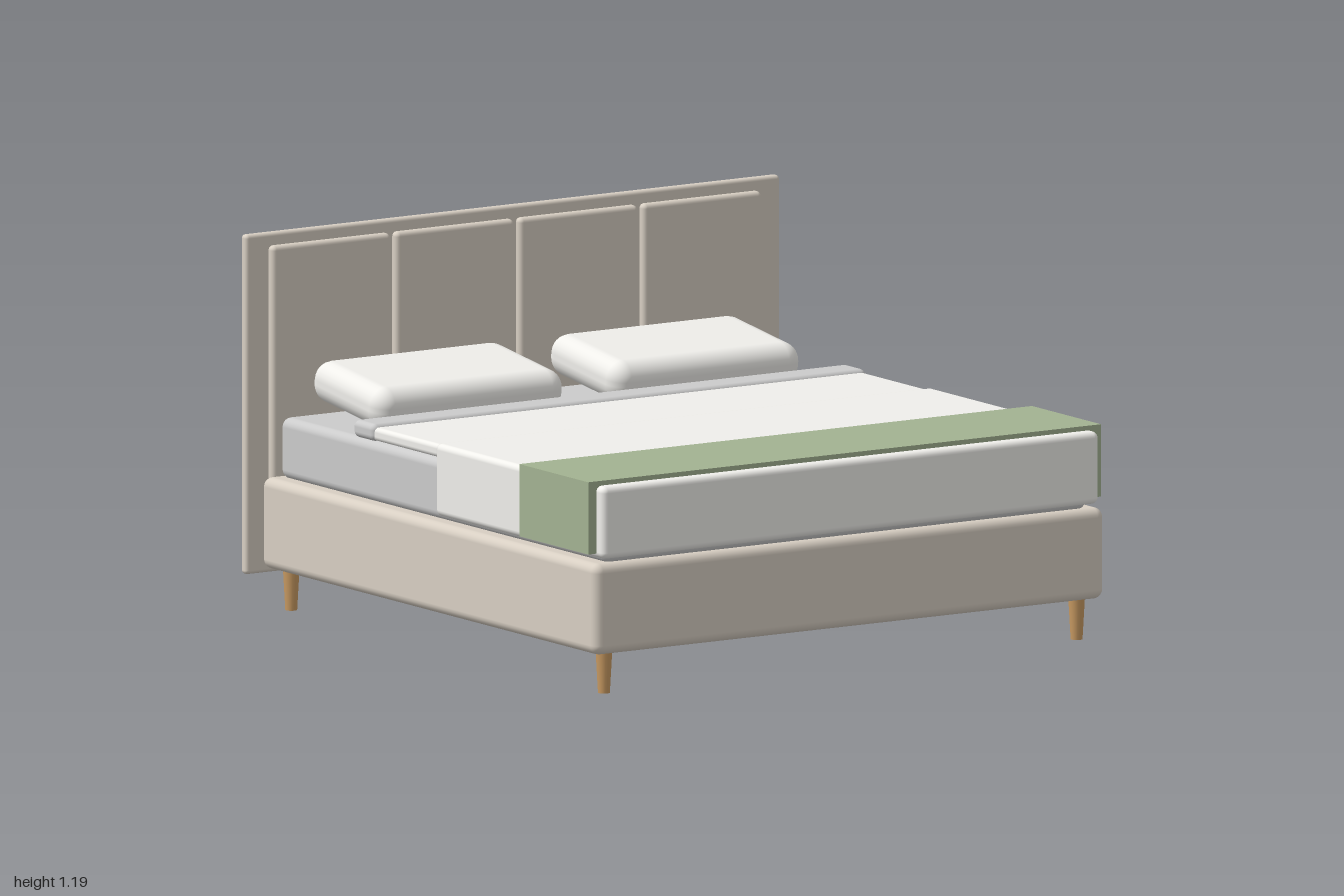
import * as THREE from 'three';
import { RoundedBoxGeometry } from 'three/addons/geometries/RoundedBoxGeometry.js';

const paint = (color) => new THREE.MeshStandardMaterial({ color });

export function createModel() {
  const bed = new THREE.Group();
  bed.name = 'bed';

  const fabric = paint(0xd8cfc3);
  const grey = paint(0xcccccc);
  const linen = paint(0xf0efeb);
  const green = paint(0xa3b392);
  const wood = paint(0xc89a62);

  function add(name, geometry, material, x, y, z) {
    const mesh = new THREE.Mesh(geometry, material);
    mesh.name = name;
    mesh.position.set(x, y, z);
    bed.add(mesh);
    return mesh;
  }

  // Rounded block given by its [min, max] range on each axis
  function block(name, material, [x0, x1], [y0, y1], [z0, z1], radius, segments = 3) {
    const geometry = new RoundedBoxGeometry(x1 - x0, y1 - y0, z1 - z0, segments, radius);
    return add(name, geometry, material, (x0 + x1) / 2, (y0 + y1) / 2, (z0 + z1) / 2);
  }

  // Upholstered base
  block('base', fabric, [-0.955, 0.955], [0.13, 0.42], [-0.94, 0.98], 0.03);

  // Headboard with four padded panels
  block('headboard', fabric, [-1, 1], [0.11, 1.19], [-0.985, -0.952], 0.012);
  for (let i = 0; i < 4; i++) {
    const x = (i - 1.5) * 0.463;
    block('headboardPanel', fabric, [x - 0.222, x + 0.222], [0.37, 1.15], [-0.965, -0.927], 0.015);
  }

  // Mattress
  block('mattress', grey, [-0.905, 0.905], [0.415, 0.61], [-0.91, 0.96], 0.03);

  // Duvet, turned-down sheet and its folded cuff
  block('duvet', linen, [-0.93, 0.93], [0.435, 0.665], [0.02, 0.985], 0.02);
  block('turnedSheet', linen, [-0.918, 0.918], [0.617, 0.66], [-0.42, 0.025], 0.015);
  block('sheetCuff', grey, [-0.925, 0.925], [0.615, 0.67], [-0.46, -0.338], 0.02);

  // Throw across the foot end
  add('throw', new THREE.BoxGeometry(1.92, 0.23, 0.395), green, 0, 0.565, 0.7475);

  // Pillows and tapered legs, mirrored
  for (const side of [-1, 1]) {
    const pillow = add('pillow', new RoundedBoxGeometry(0.71, 0.135, 0.415, 3, 0.06), linen,
      side * 0.443, 0.695, -0.705);
    pillow.rotation.x = 0.125;

    for (const z of [0.92, -0.87]) {
      add('leg', new THREE.CylinderGeometry(0.027, 0.019, 0.14, 16), wood, side * 0.885, 0.07, z);
    }
  }

  return bed;
}
